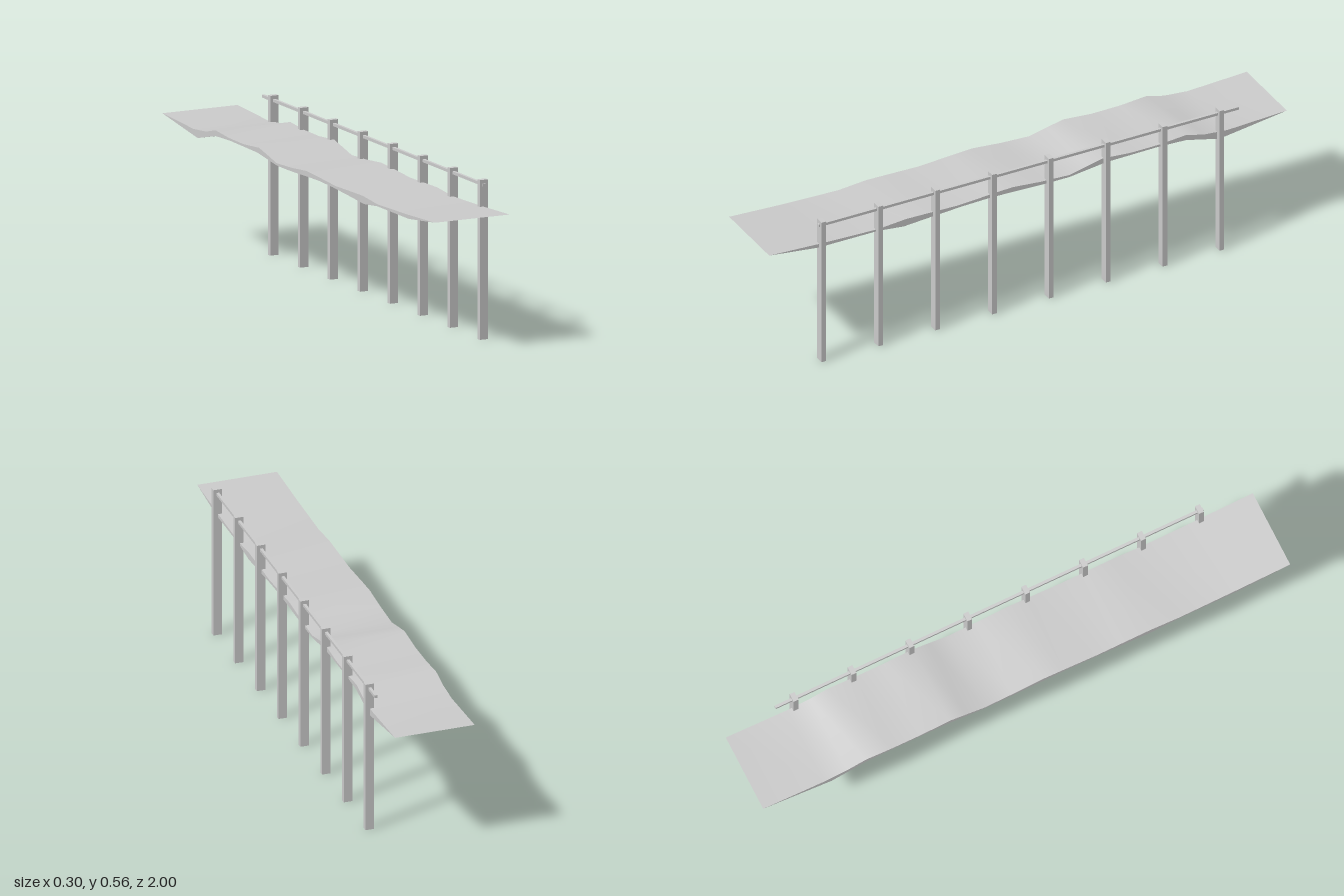
import * as THREE from 'three';
import { toCreasedNormals } from 'three/addons/utils/BufferGeometryUtils.js';

export function createModel() {
  const group = new THREE.Group();
  const material = new THREE.MeshStandardMaterial({ color: 0xcccccc });
  const add = (name, geometry, x, y, z) => {
    const mesh = new THREE.Mesh(geometry, material);
    mesh.name = name;
    mesh.position.set(x, y, z);
    group.add(mesh);
  };

  // Undulating walkway: side outline as [z, y], swept across the width
  const top = [
    [1, 0.472], [0.79, 0.462], [0.58, 0.456], [0.47, 0.465], [0.36, 0.463], [0.27, 0.461],
    [0.14, 0.469], [0.06, 0.473], [-0.05, 0.463], [-0.16, 0.458], [-0.23, 0.474],
    [-0.29, 0.487], [-0.4, 0.478], [-0.51, 0.479], [-0.61, 0.487], [-0.68, 0.469], [-0.77, 0.461],
  ];
  const bottom = [
    [-1, 0.472], [-0.74, 0.435], [-0.61, 0.467], [-0.5, 0.471], [-0.3, 0.468], [-0.16, 0.45],
    [-0.07, 0.45], [0.14, 0.456], [0.25, 0.453], [0.38, 0.445], [0.48, 0.438],
    [0.58, 0.449], [0.81, 0.449],
  ];
  const outline = new THREE.Shape([...top, ...bottom].map(([z, y]) => new THREE.Vector2(z, y)));
  const deck = new THREE.ExtrudeGeometry(outline, { depth: 0.288, bevelEnabled: false });
  deck.rotateY(-Math.PI / 2);
  add('walkway', toCreasedNormals(deck, 0.6), 0.135, 0, 0);

  // Row of posts along the left edge
  const post = new THREE.BoxGeometry(0.031, 0.556, 0.018);
  for (let i = 0; i < 8; i++) add('post', post, 0.1365, 0.278, 0.798 - i * 0.2197);

  // Handrail through the post tops
  add('handrail', new THREE.BoxGeometry(0.01, 0.01, 1.624), 0.1365, 0.539, 0);

  return group;
}
